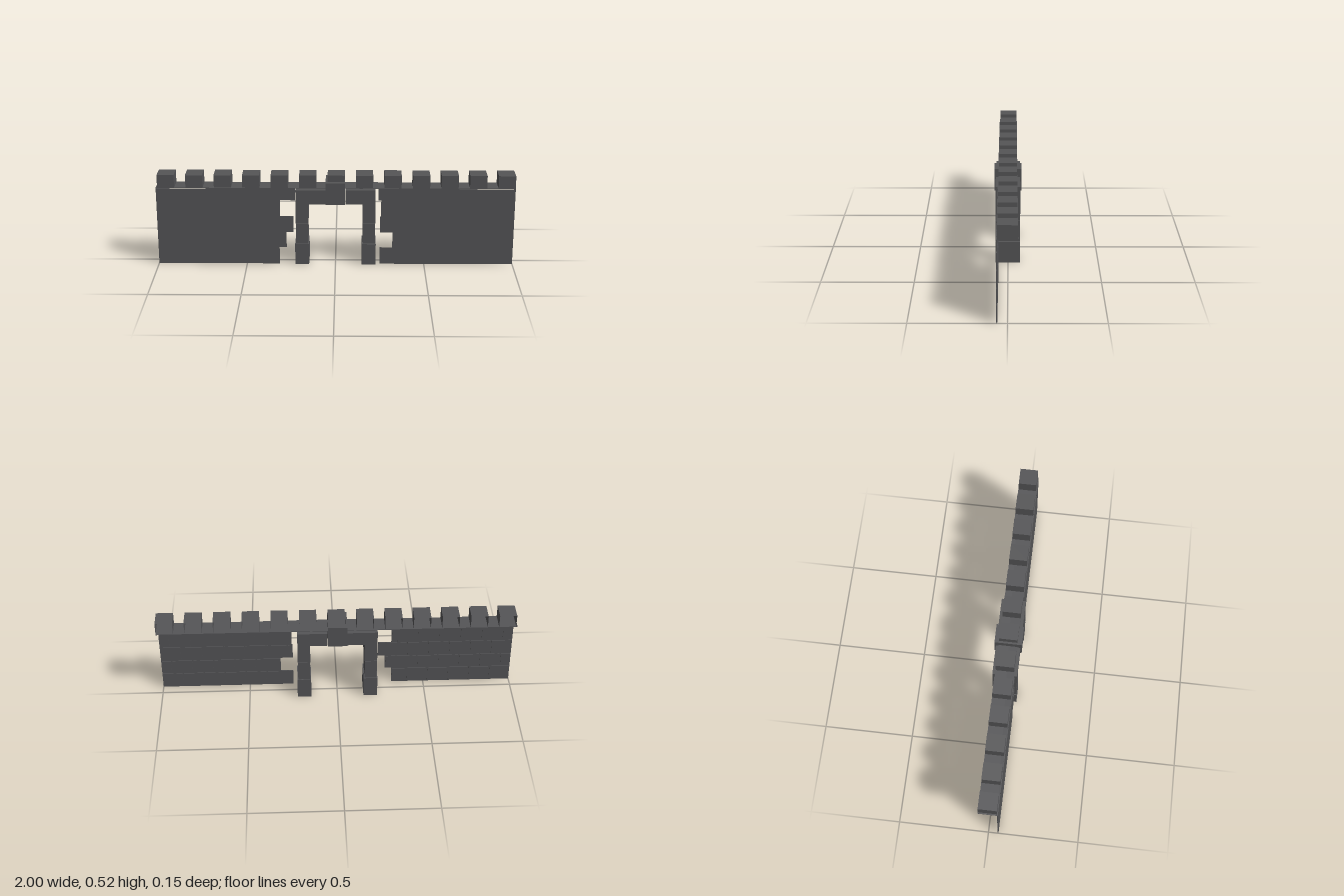
import * as THREE from 'three';

const stone = new THREE.MeshStandardMaterial({ color: 0x555557, side: THREE.DoubleSide });
stone.name = 'dark stone';

// Box given by its limits; open lists the faces left out (0 +x, 1 -x, 2 +y, 3 -y, 4 +z, 5 -z)
function block(name, x0, x1, y0, y1, z0, z1, open = []) {
  const g = new THREE.BoxGeometry(x1 - x0, y1 - y0, z1 - z0);
  const index = Array.from(g.index.array);
  g.setIndex(index.filter((_, i) => !open.includes(Math.floor(i / 6))));
  g.clearGroups();
  g.translate((x0 + x1) / 2, (y0 + y1) / 2, (z0 + z1) / 2);
  const mesh = new THREE.Mesh(g, stone);
  mesh.name = name;
  return mesh;
}

const ROWS = [0, 0.1, 0.19, 0.285, 0.38, 0.448];
const FACE = 0.056, BRICK_BACK = 0.051;

// One wall: a thin front face with a broken inner edge and raised bricks behind it.
// edges holds the distance of the inner edge from the centre for each course.
function wall(name, side, edges) {
  const group = new THREE.Group();
  group.name = name;
  const shape = new THREE.Shape();
  shape.moveTo(side, 0);
  edges.forEach((e, i) => {
    shape.lineTo(side * e, ROWS[i]);
    shape.lineTo(side * e, ROWS[i + 1]);
  });
  shape.lineTo(side, ROWS[5]);
  shape.closePath();
  const face = new THREE.Mesh(new THREE.ExtrudeGeometry(shape, { depth: 0.001, bevelEnabled: false }), stone);
  face.name = 'wallFace';
  face.position.z = FACE - 0.001;
  group.add(face);

  // Staggered brick courses
  const w = 0.12, gap = 0.004;
  edges.forEach((edge, i) => {
    for (let a = 1 + (i % 2 ? w / 2 : 0); a > edge + 0.02; a -= w) {
      const outer = Math.min(a, 1) - gap;
      let inner = Math.max(a - w, edge) + gap;
      if (inner - edge < 0.03) inner = edge + gap;
      if (outer - inner < 0.02) continue;
      const [x0, x1] = side > 0 ? [inner, outer] : [-outer, -inner];
      group.add(block('brick', x0, x1, ROWS[i] + gap, ROWS[i + 1] - gap, BRICK_BACK, FACE - 0.001, [4]));
      if (inner === edge + gap) break;
    }
  });
  return group;
}

export function createModel() {
  const model = new THREE.Group();
  model.name = 'castleWallWithGate';

  model.add(wall('leftWall', 1, [0.25, 0.32, 0.25, 0.255, 0.24]));
  model.add(wall('rightWall', -1, [0.315, 0.275, 0.235, 0.31, 0.225]));

  // Walkway along the top of the wall
  model.add(block('walkway', -1, 1, 0.448, 0.451, -0.052, 0.053));

  // Merlons, hollow and open at the back
  const battlements = new THREE.Group();
  battlements.name = 'battlements';
  for (let i = 0; i < 13; i++) {
    const x = -0.945 + i * (1.8975 / 12);
    battlements.add(block('merlon', x - 0.0475, x + 0.0475, 0.451, 0.523, -0.05, 0.051, [3, 5]));
  }
  model.add(battlements);

  // Gate pillars of three stacked blocks each
  const courses = [[0.149, 0.227, 0, 0.123], [0.154, 0.222, 0.127, 0.244], [0.152, 0.223, 0.247, 0.36]];
  for (const side of [1, -1]) {
    const pillar = new THREE.Group();
    pillar.name = side > 0 ? 'leftPillar' : 'rightPillar';
    for (const [a, b, y0, y1] of courses) {
      const [x0, x1] = side > 0 ? [a, b] : [-b, -a];
      pillar.add(block('pillarBlock', x0, x1, y0, y1, -0.067, 0.068, [3]));
    }
    model.add(pillar);

    // Lintel half
    const [l0, l1] = side > 0 ? [0.055, 0.223] : [-0.223, -0.055];
    model.add(block(side > 0 ? 'leftLintel' : 'rightLintel', l0, l1, 0.36, 0.442, -0.067, 0.068));
  }

  // Keystone
  model.add(block('keystone', -0.055, 0.052, 0.36, 0.486, -0.075, 0.076));

  return model;
}
